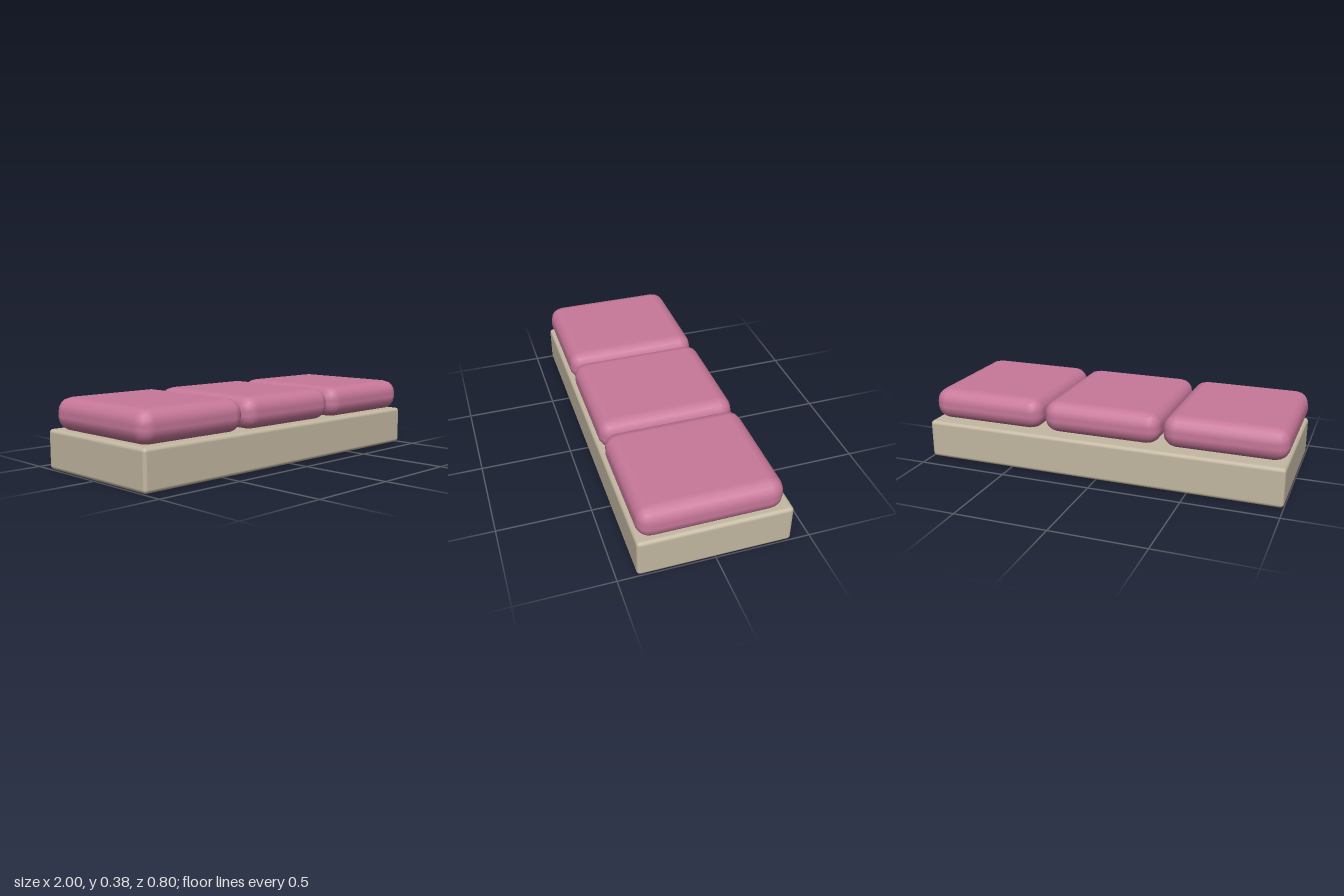
import * as THREE from 'three';
import { RoundedBoxGeometry } from 'three/addons/geometries/RoundedBoxGeometry.js';

export function createModel() {
  const model = new THREE.Group();
  model.name = 'bench';
  const beige = new THREE.MeshStandardMaterial({ color: 0xc4b8a2 });
  beige.name = 'beige base';
  const pink = new THREE.MeshStandardMaterial({ color: 0xc8789a });
  pink.name = 'pink fabric';

  // Add a rounded block from its size, corner radius and centre
  function block(name, [w, h, d], radius, [x, y, z], material) {
    const mesh = new THREE.Mesh(new RoundedBoxGeometry(w, h, d, 2, radius), material);
    mesh.name = name;
    mesh.position.set(x, y, z);
    model.add(mesh);
  }

  // Low plinth
  block('base', [2, 0.213, 0.8], 0.02, [0, 0.1065, 0], beige);

  // Three seat cushions, set slightly towards the front
  ['rightCushion', 'middleCushion', 'leftCushion'].forEach((name, i) => {
    block(name, [0.658, 0.174, 0.745], 0.075, [(i - 1) * 0.671, 0.297, 0.02], pink);
  });

  return model;
}
